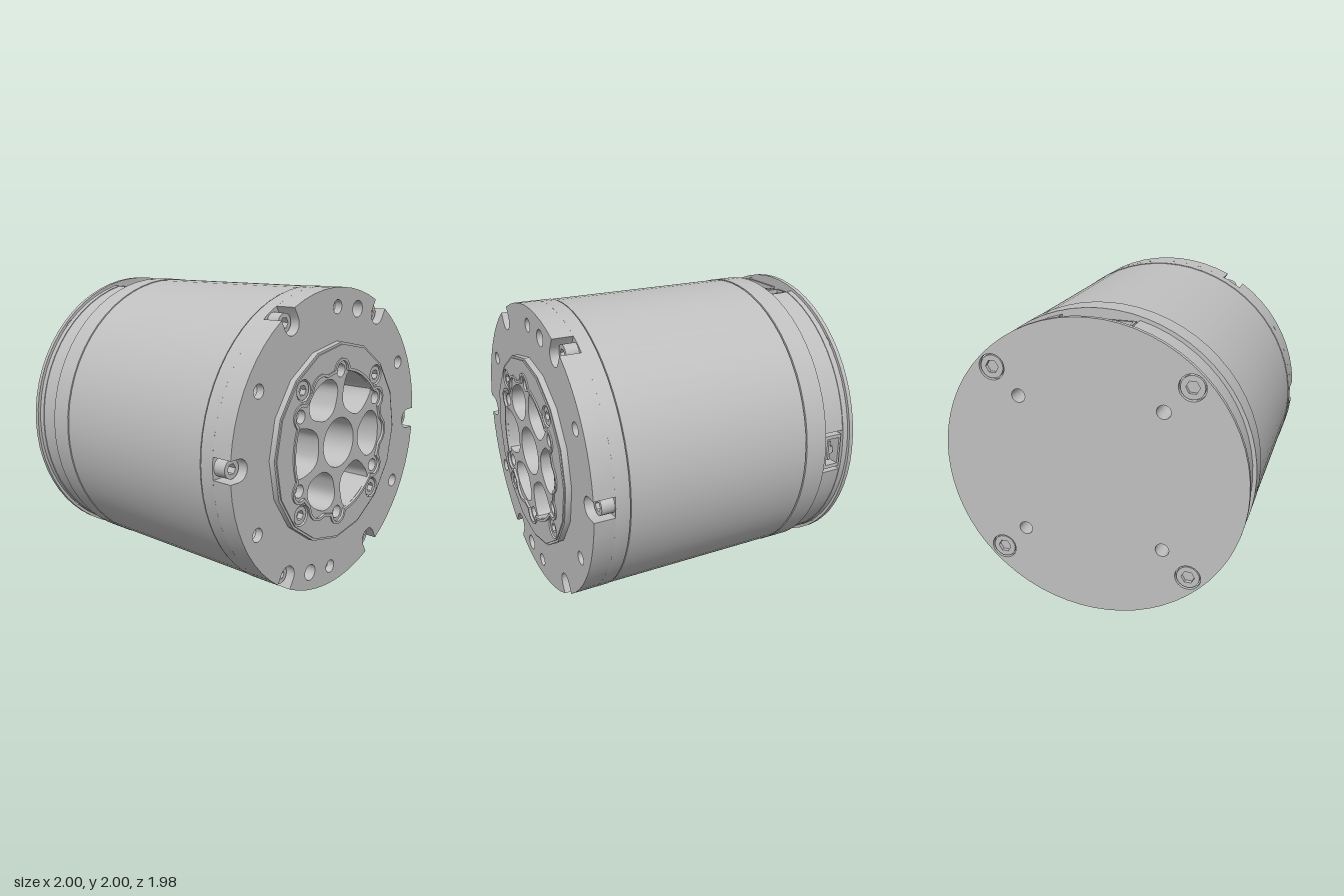
import * as THREE from 'three';
import { toCreasedNormals } from 'three/addons/utils/BufferGeometryUtils.js';

const TAU = Math.PI * 2, DEG = Math.PI / 180;
const grey = new THREE.MeshStandardMaterial({ color: 0xc0c0c0, side: THREE.DoubleSide });
grey.name = 'machined grey';

const V = (x, y) => new THREE.Vector2(x, y);
const polar = (r, a) => V(r * Math.cos(a), r * Math.sin(a));
const ngon = (cx, cy, r, n = 20, start = 0) =>
  Array.from({ length: n }, (_, i) => polar(r, start + (i / n) * TAU).add(V(cx, cy)));
const rect = (x0, y0, x1, y1) => [V(x0, y0), V(x1, y0), V(x1, y1), V(x0, y1)];
const around = (n, start, r) => Array.from({ length: n }, (_, i) => polar(r, start * DEG + (i / n) * TAU));

function add(parent, name, geometry) {
  const mesh = new THREE.Mesh(geometry, grey);
  mesh.name = name;
  parent.add(mesh);
  return mesh;
}

// Flat plate between two depths, with holes
function plate(parent, name, outline, z0, z1, holes = []) {
  const shape = new THREE.Shape(outline);
  shape.holes = holes.map((h) => new THREE.Path(h));
  const g = new THREE.ExtrudeGeometry(shape, { depth: z1 - z0, bevelEnabled: false });
  g.translate(0, 0, z0);
  return add(parent, name, toCreasedNormals(g, 30 * DEG));
}

function drum(parent, name, r, z0, z1, x = 0, y = 0, n = 64) {
  const g = new THREE.CylinderGeometry(r, r, z1 - z0, n);
  g.rotateX(Math.PI / 2);
  return add(parent, name, g.translate(x, y, (z0 + z1) / 2));
}

// Circle with slots cut in from the rim: { a: angle, w: half width, r: inner radius, round }
function notchedCircle(R, notches) {
  const pts = [];
  notches.forEach((s, i) => {
    const local = (u, v) => V(u, v).rotateAround(V(0, 0), s.a);
    if (s.round) {
      for (let k = 0; k <= 8; k++) {
        const t = -Math.PI / 2 - (k / 8) * Math.PI;
        pts.push(local(s.r + s.w * Math.cos(t), s.w * Math.sin(t)));
      }
    } else pts.push(local(s.r, -s.w), local(s.r, s.w));
    const next = notches[(i + 1) % notches.length];
    const a0 = s.a + Math.asin(s.w / R);
    const a1 = next.a - Math.asin(next.w / R) + (i === notches.length - 1 ? TAU : 0);
    const n = Math.ceil((a1 - a0) / (6 * DEG));
    for (let k = 0; k <= n; k++) pts.push(polar(R, a0 + ((a1 - a0) * k) / n));
  });
  return pts;
}

// Lobed outline of the output flange, moved inward by d
function rosette(d) {
  const lobes = [];
  for (let i = 0; i < 6; i++) lobes.push([(30 + 60 * i) * DEG, 0.475, 0.082 - d]);
  for (let i = 0; i < 3; i++) lobes.push([120 * i * DEG, 0.42, 0.115 - d]);
  return Array.from({ length: 180 }, (_, i) => {
    const a = (i / 180) * TAU;
    let r = 0.49 - d;
    for (const [la, c, p] of lobes) {
      const q = p * p - (c * Math.sin(a - la)) ** 2;
      if (q > 0 && Math.cos(a - la) > 0) r = Math.max(r, c * Math.cos(a - la) + Math.sqrt(q));
    }
    return polar(r, a);
  });
}

// Rounded weight-saving pocket, symmetric about its radial line
function pocket(half, angle) {
  const all = [...half, ...half.slice().reverse().map(([x, y]) => [x, -y])];
  const curve = new THREE.CatmullRomCurve3(all.map(([x, y]) => new THREE.Vector3(x, y, 0)), true, 'centripetal');
  return curve.getPoints(32).slice(0, -1).map((p) => V(p.x, p.y).rotateAround(V(0, 0), angle));
}

const screw = (parent, name, p, r, z0, z1) =>
  plate(parent, name, ngon(p.x, p.y, r, 24), z0, z1, [ngon(p.x, p.y, r * 0.58, 6)]);

// Conical drill point closing a hole
function drillPoint(parent, p, r, z) {
  const g = new THREE.CylinderGeometry(r, 0.001, r * 0.8, 20, 1, true);
  g.rotateX(Math.PI / 2);
  add(parent, 'drillPoint', g.translate(p.x, p.y, z));
}

// Socket frame: local x is tangential, y runs to the rear, z points outward
function socket(parent, name, angle, build) {
  const turn = new THREE.Group(), face = new THREE.Group();
  turn.name = name;
  turn.rotation.z = angle - Math.PI / 2;
  face.rotation.x = -Math.PI / 2;
  turn.add(face);
  parent.add(turn);
  build(face);
}

function powerSocket(f) {
  const body = [V(-0.235, 0.78), V(0.06, 0.78), V(0.1, 0.82), V(0.1, 0.91), V(0.06, 0.95), V(-0.235, 0.95)];
  const bore = [V(-0.22, 0.795), V(0.055, 0.795), V(0.085, 0.825), V(0.085, 0.905), V(0.055, 0.935), V(-0.22, 0.935)];
  plate(f, 'powerHousing', body, 0.82, 0.94, [bore]);
  for (const x of [-0.15, 0.02]) {
    plate(f, 'powerPin', ngon(x, 0.865, 0.045, 20), 0.82, 0.925, [ngon(x, 0.865, 0.036, 20)]);
    plate(f, 'pinCross', rect(x - 0.036, 0.86, x + 0.036, 0.87), 0.82, 0.92);
    plate(f, 'pinCross', rect(x - 0.005, 0.829, x + 0.005, 0.901), 0.82, 0.92);
  }
  plate(f, 'signalHousing', rect(0.11, 0.78, 0.225, 0.94), 0.82, 0.935, [rect(0.122, 0.792, 0.213, 0.928)]);
  for (const y of [0.825, 0.895]) plate(f, 'signalPin', rect(0.155, y - 0.012, 0.179, y + 0.012), 0.82, 0.92);
}

function dataSocket(f) {
  plate(f, 'dataHousing', rect(-0.12, 0.78, 0.12, 0.91), 0.85, 0.965, [rect(-0.095, 0.8, 0.095, 0.895)]);
  plate(f, 'dataTongue', rect(-0.07, 0.83, 0.07, 0.845), 0.85, 0.945);
  plate(f, 'dataKey', rect(-0.025, 0.845, 0.025, 0.87), 0.85, 0.94);
}

export function createModel() {
  const model = new THREE.Group();
  model.name = 'actuator';
  const m = new THREE.Group();
  m.name = 'actuatorBody';
  m.position.y = 1;
  model.add(m);

  // Main barrel with narrow grooves at both joints
  drum(m, 'barrel', 0.997, -0.596, 0.686);
  drum(m, 'grooveCore', 0.982, -0.75, 0.69);
  drum(m, 'rearRing', 1, -0.76, -0.604);

  // Front flange with six screw slots and blind holes
  const lobed = rosette(0);
  const slots = Array.from({ length: 6 }, (_, i) => ({ a: i * 60 * DEG, w: 0.07, r: 0.925, round: true }));
  const blind = around(6, 30, 0.877);
  const dowels = [V(0.225, 0.85), V(-0.225, -0.85)];
  plate(m, 'flangeBase', ngon(0, 0, 1, 64), 0.694, 0.79, [lobed]);
  plate(m, 'flangeFace', notchedCircle(1, slots), 0.79, 0.93, [
    lobed,
    ...blind.map((p) => ngon(p.x, p.y, 0.045)),
    ...dowels.map((p) => ngon(p.x, p.y, 0.055)),
  ]);
  blind.forEach((p) => drillPoint(m, p, 0.045, 0.86));
  around(6, 0, 0.93).forEach((p) => screw(m, 'flangeScrew', p, 0.06, 0.79, 0.875));

  // Raised sixteen-sided hub
  const hubScrews = around(4, 45, 0.563);
  const hubHoles = [lobed, ...hubScrews.map((p) => ngon(p.x, p.y, 0.069, 24))];
  plate(m, 'hub', ngon(0, 0, 0.66, 16, Math.PI / 2), 0.93, 0.97, hubHoles);
  plate(m, 'hubStep', ngon(0, 0, 0.645, 16, Math.PI / 2), 0.97, 0.978, hubHoles);
  hubScrews.forEach((p) => screw(m, 'hubScrew', p, 0.06, 0.93, 0.97));

  // Output flange with pockets, bolt holes and raised rim
  const small = [[0.222, 0.045], [0.26, 0.1], [0.33, 0.155], [0.4, 0.145], [0.452, 0.08]];
  const large = [[0.225, 0.06], [0.25, 0.105], [0.31, 0.14], [0.44, 0.155], [0.465, 0.07]];
  const bolts = around(6, 30, 0.475);
  const cuts = [ngon(0, 0, 0.166, 40), ...bolts.map((p) => ngon(p.x, p.y, 0.043))];
  for (let i = 0; i < 6; i++) cuts.push(pocket(i % 2 ? large : small, i * 60 * DEG));
  plate(m, 'outputFlange', lobed, 0.69, 0.97, cuts);
  plate(m, 'outputRim', lobed, 0.97, 0.987, [rosette(0.018)]);
  bolts.forEach((p) => drillPoint(m, p, 0.043, 0.9));
  around(3, 0, 0.42).forEach((p) => drum(m, 'planetPin', 0.07, 0.69, 0.73, p.x, p.y, 24));

  // Rear cap with socket recesses, closing plate and fixings
  const top = { a: 90 * DEG, w: 0.25, r: 0.82 }, bottom = { ...top, a: 270 * DEG };
  const side = { a: 0, w: 0.145, r: 0.85 };
  const holes = around(4, 45, 0.66).map((p) => ngon(p.x, p.y, 0.045));
  const rearScrews = around(4, 45, 0.9);
  plate(m, 'rearCap', notchedCircle(0.975, [side, top, bottom]), -0.92, -0.76, holes);
  plate(m, 'rearCapEdge', notchedCircle(0.98, [top, bottom]), -0.96, -0.92, holes);
  plate(m, 'rearPlate', ngon(0, 0, 1, 64), -0.99, -0.96,
    [...holes, ...rearScrews.map((p) => ngon(p.x, p.y, 0.085, 24))]);
  rearScrews.forEach((p) => screw(m, 'rearScrew', p, 0.075, -0.985, -0.96));

  socket(m, 'topPowerSocket', 90 * DEG, powerSocket);
  socket(m, 'bottomPowerSocket', 270 * DEG, powerSocket);
  socket(m, 'sideDataSocket', 0, dataSocket);
  return model;
}
